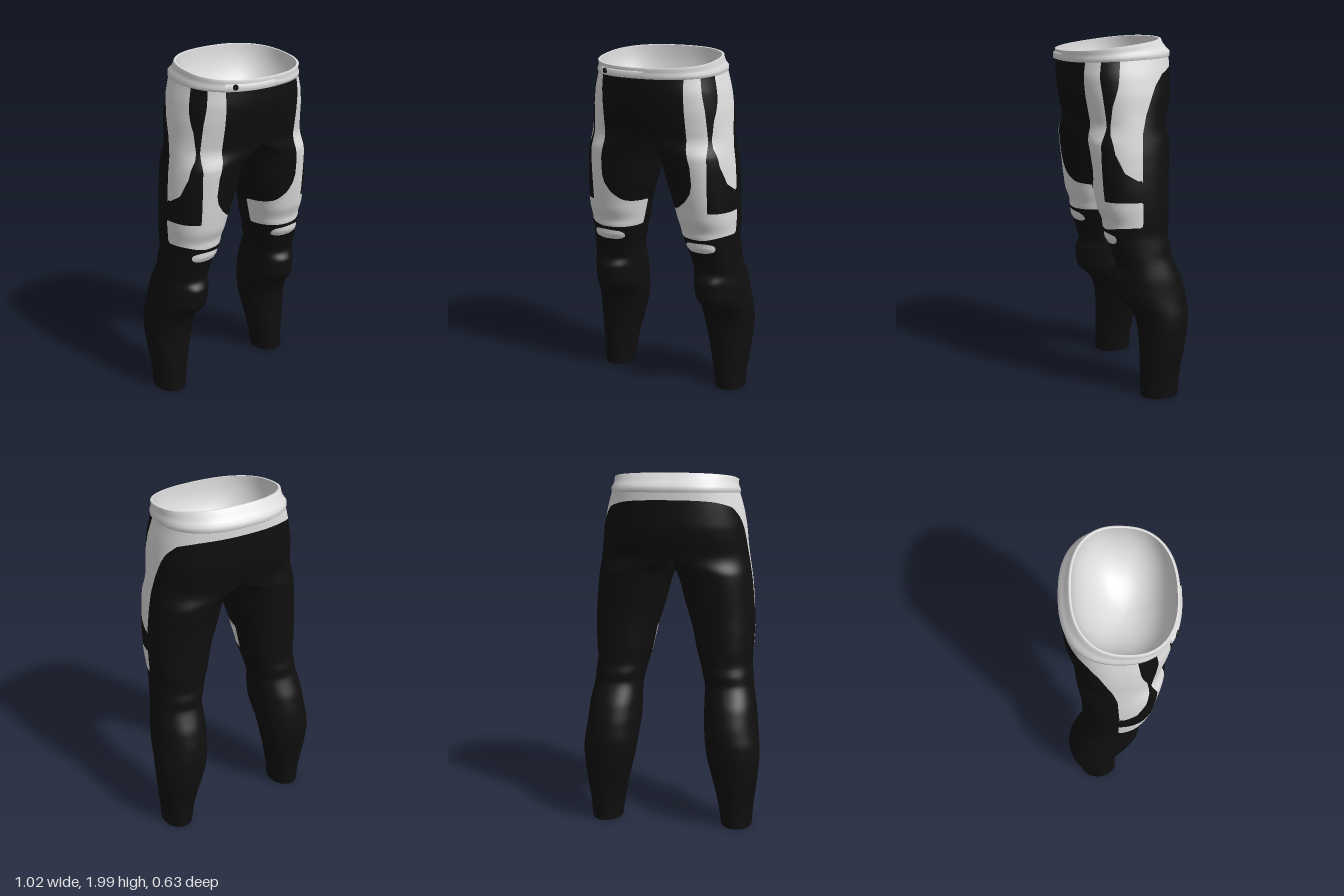
import * as THREE from 'three';

const white = new THREE.MeshStandardMaterial({ color: 0xdcdcdc, side: THREE.DoubleSide });
white.name = 'white fabric';
const black = new THREE.MeshStandardMaterial({ color: 0x0f0f0f, side: THREE.DoubleSide });
black.name = 'black fabric';

const step = THREE.MathUtils.smoothstep;

// piecewise linear table lookup, and a softened version for outlines
function at(table, y) {
  if (y <= table[0][0]) return table[0][1];
  for (let i = 1; i < table.length; i++) {
    const [y0, v0] = table[i - 1], [y1, v1] = table[i];
    if (y <= y1) return v0 + (v1 - v0) * (y - y0) / (y1 - y0);
  }
  return table[table.length - 1][1];
}
const soft = (table, y) => (at(table, y - 0.02) + 2 * at(table, y) + at(table, y + 0.02)) / 4;

// trouser outlines by height: outer and inner side, front and back
const outerX = [[0, 0.47], [0.1, 0.477], [0.2, 0.49], [0.3, 0.502], [0.42, 0.511], [0.5, 0.506], [0.6, 0.492], [0.7, 0.482],
  [0.8, 0.462], [0.95, 0.447], [1, 0.452], [1.1, 0.457], [1.2, 0.456], [1.3, 0.45], [1.4, 0.441], [1.5, 0.426], [1.6, 0.412],
  [1.7, 0.402], [1.8, 0.382], [1.9, 0.352]];
const innerX = [[0, 0.295], [0.1, 0.28], [0.2, 0.26], [0.3, 0.235], [0.4, 0.21], [0.5, 0.195], [0.6, 0.186], [0.8, 0.185],
  [0.9, 0.16], [1, 0.132], [1.13, 0.105], [1.28, 0.058], [1.4, 0.028], [1.46, 0]];
const frontZ = [[0, -0.03], [0.3, -0.03], [0.42, -0.02], [0.5, 0.01], [0.54, 0.045], [0.6, 0.075], [0.7, 0.085], [0.75, 0.085],
  [0.83, 0.112], [0.87, 0.125], [0.95, 0.145], [0.98, 0.162], [1.01, 0.155], [1.08, 0.185], [1.2, 0.205], [1.3, 0.22],
  [1.4, 0.235], [1.55, 0.255], [1.6, 0.268], [1.7, 0.29], [1.8, 0.304], [1.9, 0.302]];
const backZ = [[0, -0.25], [0.1, -0.255], [0.2, -0.27], [0.3, -0.29], [0.4, -0.305], [0.5, -0.31], [0.6, -0.296], [0.7, -0.268],
  [0.76, -0.238], [0.82, -0.21], [0.87, -0.216], [0.92, -0.2], [1, -0.206], [1.2, -0.207], [1.3, -0.215], [1.5, -0.234],
  [1.56, -0.25], [1.62, -0.27], [1.7, -0.285], [1.9, -0.284]];

// colour panel edges by height
const stripeIn = [[1.1, 0], [1.13, 0.09], [1.15, 0.175], [1.2, 0.235], [1.25, 0.268], [1.3, 0.28], [1.4, 0.275], [1.5, 0.252], [1.88, 0.243]];
const stripeOut = [[1.14, 0.36], [1.4, 0.36], [1.5, 0.355], [1.7, 0.34], [1.88, 0.31]];
const sideBack = [[1.24, 0], [1.5, -0.01], [1.6, -0.035], [1.7, -0.075], [1.75, -0.1], [1.81, -0.155], [1.85, -0.26], [1.865, -0.4]];
const sideFront = [[1.24, -0.01], [1.26, 0.03], [1.3, 0.095], [1.4, 0.14], [1.5, 0.155], [1.65, 0.14], [1.75, 0.11], [1.88, 0.09]];

// positive where the fabric is white
function whiteness(x, y, z) {
  const stripe = Math.min(x - at(stripeIn, y), Math.max(at(stripeOut, y) - x, 1.14 - y), z + 0.005, y - 0.975 - 0.025 * step(x, 0.3, 0.45));
  const side = Math.min(y - 1.245, z - at(sideBack, y), at(sideFront, y) - z, Math.max(x - 0.2, -z - 0.15));
  const slit = Math.min(0.03 * (1 - Math.abs((x - 0.293) / 0.093) ** 3 - Math.abs((y - 0.925 + 0.08 * (0.293 - x) * 0.5) / 0.031) ** 3), z);
  return Math.max(stripe, side, slit);
}

const sgnPow = (v, p) => Math.sign(v) * Math.abs(v) ** (2 / p);

// a point of one trouser half: leg ring below, half of the hips above
function halfPoint(y, t) {
  const xo = soft(outerX, y), xi = soft(innerX, y), zf = soft(frontZ, y), zb = soft(backZ, y);
  const w = step(y, 1.44, 1.56), p = 2 + 0.3 * step(y, 0.3, 1.1);
  const c = Math.cos(t), s = Math.sin(t), cz = (zf + zb) / 2, b = (zf - zb) / 2;
  const legX = (xo + xi) / 2 + (xo - xi) / 2 * sgnPow(c, p);
  const hipX = c > 1e-6 ? xo * sgnPow(c, 2.4) : 0;
  const x = legX + (hipX - legX) * w;
  let z = cz + b * (sgnPow(s, p) * (1 - w) + sgnPow(s, 2.4) * w);
  // knee pad, brow fold and white slit bulge at the front
  if (s > 0) {
    const across = s * Math.exp(-(((x - 0.29) / 0.12) ** 4));
    z += across * (0.035 * step(y, 0.5, 0.6) * (1 - step(y, 0.7, 0.77)) + 0.012 * Math.exp(-(((y - 0.925) / 0.025) ** 2)));
  }
  return [x, y - 0.05 * z * step(y, 1.7, 1.885), z];
}

// grid surface through rows of points; closed rings share their seam
function loft(rows, closed) {
  const n = rows[0].length, index = [];
  for (let r = 0; r < rows.length - 1; r++) {
    for (let i = 0; i < (closed ? n : n - 1); i++) {
      const a = r * n + i, b = r * n + (i + 1) % n;
      index.push(a, a + n, b, b, a + n, b + n);
    }
  }
  const g = new THREE.BufferGeometry();
  g.setAttribute('position', new THREE.Float32BufferAttribute(rows.flat(2), 3));
  g.setIndex(index);
  g.computeVertexNormals();
  return g;
}

const ring = (n, f, t0 = 0, t1 = Math.PI * 2, closed = true) =>
  Array.from({ length: closed ? n : n + 1 }, (_, i) => f(t0 + (t1 - t0) * i / n));

// trouser half cut along the colour edges, side = 1 or -1
function trouserHalf(side) {
  const N = 96, R = 150, TOP = 1.892;
  const rows = Array.from({ length: R + 1 }, (_, r) => ring(N, t => halfPoint(TOP * r / R, t)));
  const base = loft(rows, true);
  const pos = Array.from(base.attributes.position.array), nor = Array.from(base.attributes.normal.array);
  for (let i = 0; i < pos.length; i += 3) {
    if (pos[i] < 1e-4) {
      const l = Math.hypot(nor[i + 1], nor[i + 2]) || 1;
      nor[i] = 0; nor[i + 1] /= l; nor[i + 2] /= l;
    }
  }
  const field = [];
  for (let i = 0; i < pos.length; i += 3) field.push(whiteness(pos[i], pos[i + 1], pos[i + 2]));
  const cut = (a, b) => {
    const k = field[a] / (field[a] - field[b]);
    for (const arr of [pos, nor]) for (let j = 0; j < 3; j++) arr.push(arr[a * 3 + j] + (arr[b * 3 + j] - arr[a * 3 + j]) * k);
    return pos.length / 3 - 1;
  };
  const faces = [[], []];
  const add = (isWhite, a, b, c) => faces[isWhite ? 0 : 1].push(...(side > 0 ? [a, b, c] : [a, c, b]));
  const idx = base.index.array;
  for (let i = 0; i < idx.length; i += 3) {
    let [a, b, c] = [idx[i], idx[i + 1], idx[i + 2]];
    if (pos[a * 3] < 1e-4 && pos[b * 3] < 1e-4 && pos[c * 3] < 1e-4) continue; // hidden middle wall
    const on = v => field[v] > 0;
    if (on(a) === on(b) && on(b) === on(c)) { add(on(a), a, b, c); continue; }
    while (on(b) !== on(c)) [a, b, c] = [b, c, a];
    const p = cut(a, b), q = cut(a, c);
    add(on(a), a, p, q);
    add(on(b), p, b, c);
    add(on(b), p, c, q);
  }
  const flip = arr => arr.map((v, i) => (i % 3 === 0 ? v * side : v));
  const g = new THREE.BufferGeometry();
  g.setAttribute('position', new THREE.Float32BufferAttribute(flip(pos), 3));
  g.setAttribute('normal', new THREE.Float32BufferAttribute(flip(nor), 3));
  g.setIndex(faces[0].concat(faces[1]));
  g.addGroup(0, faces[0].length, 0);
  g.addGroup(faces[0].length, faces[1].length, 1);
  return new THREE.Mesh(g, [white, black]);
}

// a point of the tilted waistband: half width, front, back, height 0..1, drop below the rim
function bandPoint([xo, zf, zb, h, drop = 0], t) {
  const z = (zf + zb) / 2 + (zf - zb) / 2 * sgnPow(Math.sin(t), 2.4);
  const low = 1.885 - 0.05 * z, high = 1.965 - 0.13 * z;
  return [xo * sgnPow(Math.cos(t), 2.4), low + (high - low) * h - drop, z];
}

export function createModel() {
  const model = new THREE.Group();
  const add = (geometry, material, name) => {
    const mesh = new THREE.Mesh(geometry, material);
    mesh.name = name;
    model.add(mesh);
    return mesh;
  };

  for (const side of [1, -1]) {
    const half = trouserHalf(side);
    half.name = side > 0 ? 'leftTrouserLeg' : 'rightTrouserLeg';
    model.add(half);
    // closed hem
    const hem = add(new THREE.CircleGeometry(1, 48).rotateX(Math.PI / 2), black, side > 0 ? 'leftHem' : 'rightHem');
    hem.scale.set(0.0875, 1, 0.11);
    hem.position.set(0.3825 * side, 0.001, -0.14);
  }

  // waistband with a rolled lower edge
  const band = [[0.35, 0.296, -0.281, -0.1], [0.36, 0.306, -0.291, 0], [0.361, 0.309, -0.289, 0.25], [0.352, 0.306, -0.27, 0.42],
    [0.347, 0.305, -0.25, 0.7], [0.348, 0.308, -0.236, 0.97], [0.342, 0.302, -0.23, 1], [0.335, 0.294, -0.222, 0.98]];
  add(loft(band.map(b => ring(96, t => bandPoint(b, t))), true), white, 'waistband');

  // bowl-shaped lining inside the waist
  const lining = Array.from({ length: 15 }, (_, i) => {
    const a = i / 14 * Math.PI / 2, s = Math.max(Math.cos(a), 0.001);
    return [0.335 * s, 0.036 + 0.258 * s, 0.036 - 0.258 * s, 0.98, 0.33 * Math.sin(a)];
  });
  add(loft(lining.map(b => ring(96, t => bandPoint(b, t))), true), white, 'lining');

  // overlapping closure tab and its stud
  const tab = [[0.358, 0.306, -0.28, 0], [0.367, 0.317, -0.28, 0.08], [0.366, 0.317, -0.28, 0.6], [0.352, 0.306, -0.26, 0.68]];
  const front = Math.PI / 2;
  add(loft(tab.map(b => ring(24, t => bandPoint(b, t), front - 0.07, front + 0.7, false)), false), white, 'closureTab');
  const stud = add(new THREE.CylinderGeometry(0.014, 0.016, 0.008, 10).rotateX(Math.PI / 2), black, 'stud');
  stud.position.set(...bandPoint([0.367, 0.319, -0.28, 0.45], front + 0.53));
  stud.rotation.y = -0.4;

  return model;
}
